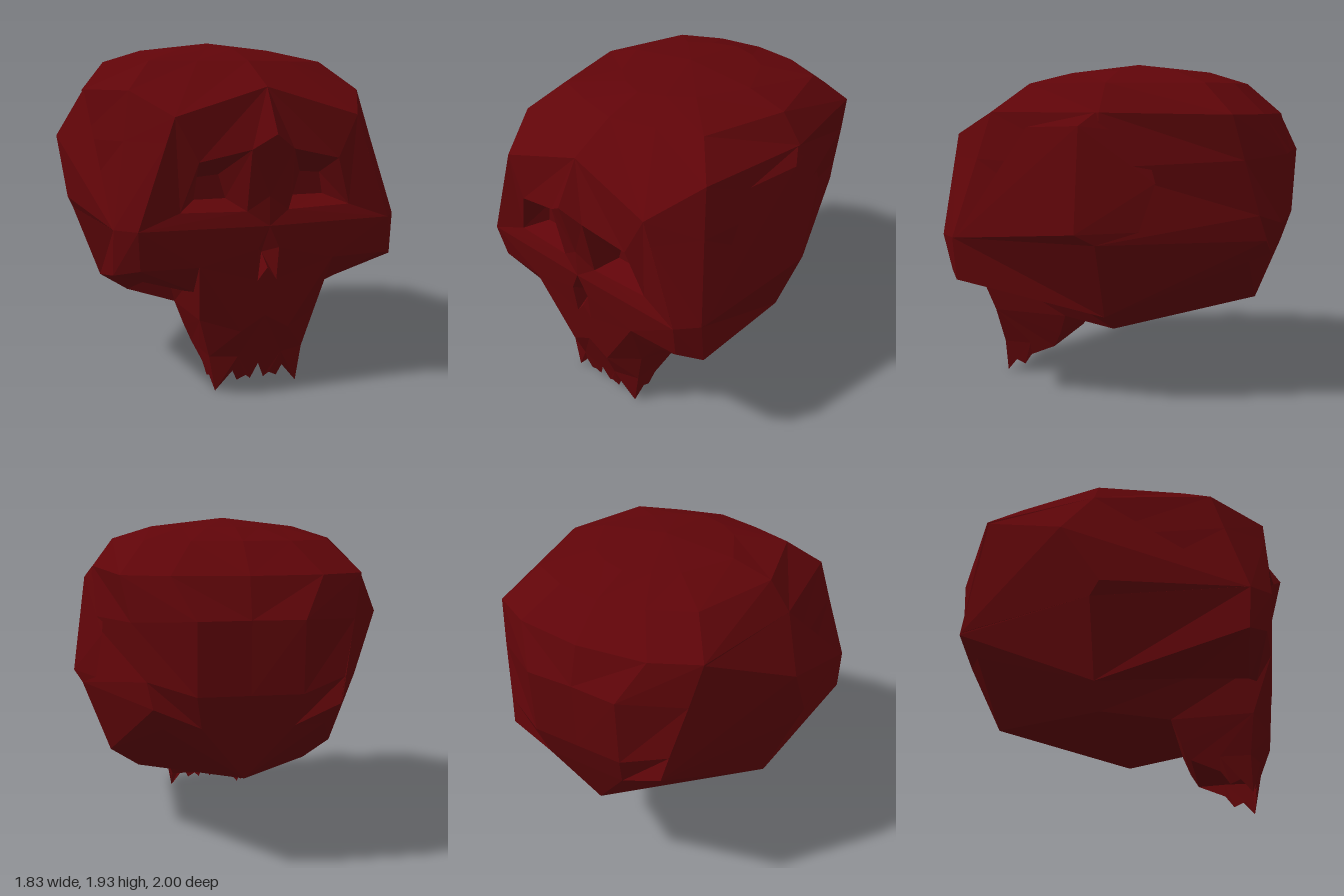
import * as THREE from 'three';
import { ConvexGeometry } from 'three/addons/geometries/ConvexGeometry.js';

const material = new THREE.MeshStandardMaterial({
  color: 0x600509, flatShading: true, side: THREE.DoubleSide,
});

function addMesh(group, name, geometry) {
  const mesh = new THREE.Mesh(geometry, material);
  mesh.name = name;
  group.add(mesh);
}

// Turns left-half polygons into triangles and mirrors them across x = 0.
function mirrored(polygons) {
  const out = [];
  const flip = ([x, y, z]) => [-x, y, z];
  for (const p of polygons) {
    for (let i = 1; i < p.length - 1; i++) {
      out.push(...p[0], ...p[i], ...p[i + 1]);
      out.push(...flip(p[0]), ...flip(p[i + 1]), ...flip(p[i]));
    }
  }
  const g = new THREE.BufferGeometry();
  g.setAttribute('position', new THREE.Float32BufferAttribute(out, 3));
  g.computeVertexNormals();
  return g;
}

// Fan of triangles from a hub along a path.
const fan = (hub, path) => path.slice(1).map((p, i) => [hub, path[i], p]);
const centre = ([, y, z]) => [0, y, z];

// Points shared by the face, cranium and jaw
const foreheadTop = [0, 1.67, 0.86], foreheadCorner = [0.52, 1.52, 0.9];
const noseTop = [0, 0.94, 0.91], cheek = [0.72, 0.95, 0.91], cheekLow = [0.7, 0.74, 0.87];
const jawTop = [0.39, 0.74, 0.89];
const nostril = [0.06, 0.82, 0.9], nostrilLow = [0.055, 0.64, 0.88], septum = [0, 0.71, 0.885];
// Back edge of the jaw, from tooth line up to the skull
const jawBack = [[0.27, 0.19, 0.41], [0.3, 0.28, 0.36], [0.34, 0.41, 0.31], [0.42, 0.62, 0.42]];

function cranium() {
  const baseSide = [0.53, 0.41, -0.06], baseBack = [0, 0.53, -0.8], underCorner = [0.44, 0.83, -0.82];
  const lowSide = [0.7, 0.52, -0.06], lowCorner = [0.5, 0.96, -0.92], lowBack = [0.25, 0.85, -0.92];
  // Half rings from top to bottom, each running from front to back
  const rings = [
    [[0, 1.88, 0.38], [0.15, 1.88, 0.32], [0.28, 1.88, 0.22], [0.43, 1.88, -0.06],
      [0.28, 1.88, -0.36], [0.15, 1.88, -0.45], [0, 1.88, -0.5]],
    [[0, 1.81, 0.6], [0.27, 1.81, 0.53], [0.52, 1.81, 0.44], [0.66, 1.81, -0.06],
      [0.51, 1.81, -0.57], [0.27, 1.81, -0.69], [0, 1.81, -0.73]],
    [foreheadTop, foreheadCorner, [0.68, 1.65, 0.61], [0.78, 1.65, -0.06],
      [0.65, 1.64, -0.75], [0.4, 1.64, -0.88], [0, 1.64, -0.93]],
    [null, [0.566, 1.39, 0.902], [0.73, 1.39, 0.68], [0.82, 1.36, -0.06],
      [0.6, 1.4, -0.81], [0.28, 1.42, -1], [0, 1.42, -0.99]],
    [noseTop, cheek, [0.82, 0.95, 0.8], [0.86, 0.95, -0.06],
      [0.53, 1.1, -0.885], [0.28, 1.03, -0.98], [0, 1.03, -0.98]],
    [jawTop, cheekLow, [0.82, 0.71, 0.78], lowSide, lowCorner, lowBack, centre(lowBack)],
  ];
  const polygons = fan([0, 1.93, -0.06], rings[0]);
  for (let r = 0; r < rings.length - 1; r++) {
    for (let c = 0; c < 6; c++) {
      if (c === 0 && r >= 2) continue; // left open for the face
      polygons.push([rings[r][c], rings[r + 1][c], rings[r + 1][c + 1], rings[r][c + 1]]);
    }
  }
  // Hollow under the cheekbone, reaching in to the jaw
  const edge = rings[5], inner = [[0.39, 0.59, 0.8], [0.43, 0.59, 0.76], jawBack[3], baseSide];
  for (let c = 0; c < 3; c++) {
    polygons.push([inner[c], inner[c + 1], edge[c + 1], edge[c]]);
  }
  // Base of the skull, rising to a point at the back
  polygons.push(
    [jawBack[3], jawBack[2], baseSide],
    [jawBack[2], centre(jawBack[2]), centre(baseSide), baseSide],
    [baseSide, centre(baseSide), baseBack],
    [lowSide, baseSide, underCorner, lowCorner], [baseSide, baseBack, underCorner],
    [underCorner, baseBack, lowBack], [lowCorner, underCorner, lowBack],
    [lowBack, baseBack, centre(lowBack)],
  );
  return mirrored(polygons);
}

// Eye opening: inner top, inner bottom, outer bottom, outer top
const eye = [[0.12, 1.35, 0.95], [0.12, 1.02, 0.885], [0.49, 1.03, 0.88], [0.4, 1.29, 0.92]];

function face() {
  const [e1, e4, e3, e2] = eye;
  const brow = [0, 1.43, 1], bridge = [0, 1.1, 0.91];
  return mirrored([
    // Brow and bridge
    [foreheadTop, brow, e1], [foreheadTop, e1, e2], [foreheadTop, e2, foreheadCorner],
    [brow, bridge, e1], [bridge, e4, e1], [bridge, noseTop, e4],
    // Temple side of the eye and cheekbone
    [foreheadCorner, e2, e3], [foreheadCorner, e3, cheek], [e4, noseTop, cheek, e3],
    // Cheek beside the nose
    [noseTop, nostril, cheek], [cheek, nostril, jawTop], [cheek, jawTop, cheekLow],
    [nostril, nostrilLow, jawTop],
  ]);
}

function eyeSockets() {
  const inner = [[0.24, 1.21, 0.77], [0.2, 1.08, 0.77], [0.38, 1.08, 0.77], [0.36, 1.2, 0.77]];
  const walls = eye.map((p, i) => {
    const n = (i + 1) % 4;
    return [p, eye[n], inner[n], inner[i]];
  });
  return mirrored([...walls, inner]);
}

function noseCavity() {
  return mirrored(fan([0, 0.78, 0.8], [septum, nostrilLow, nostril, noseTop]));
}

function upperJaw() {
  // Front rows
  const m0 = [0, 0.44, 0.86], m1 = [0.14, 0.36, 0.855], m2 = [0.345, 0.42, 0.77];
  const g0 = [0, 0.27, 0.81], g1 = [0.13, 0.2, 0.79], g2 = [0.28, 0.2, 0.74];
  const g3 = [0.28, 0.2, 0.57];
  // Jagged tooth lines at the front and side
  const frontTeeth = [[0, 0.14, 0.77], [0.04, 0.05, 0.75], [0.07, 0.075, 0.76],
    [0.12, 0.05, 0.75], [0.15, 0.11, 0.76]];
  const corner = [0.245, 0, 0.74];
  const sideTeeth = [g2, corner, [0.25, 0.08, 0.69], [0.25, 0.05, 0.62],
    [0.26, 0.12, 0.57], jawBack[0]];
  const polygons = [
    [nostrilLow, septum, m0], [nostrilLow, m0, m1],
    [jawTop, nostrilLow, m1], [jawTop, m1, m2],
    [m0, g0, g1, m1], [m1, g1, g2, m2],
    ...fan(g1, [g0, ...frontTeeth, corner, g2]),
    [jawTop, m2, jawBack[2], jawBack[3]],
    [m2, g2, g3], [m2, g3, jawBack[0], jawBack[1], jawBack[2]],
    ...fan(g3, sideTeeth),
    // Palate
    [jawBack[0], g3, centre(g3), centre(jawBack[0])], [g3, g2, centre(g2), centre(g3)],
  ];
  for (let i = 0; i < 2; i++) {
    polygons.push([jawBack[i + 1], jawBack[i], centre(jawBack[i]), centre(jawBack[i + 1])]);
  }
  return mirrored(polygons);
}

// Uneven bulges on the two temples
const leftBulge = [[0.83, 1.58, 0.04], [0.91, 1.01, 0.04], [0.77, 1.57, 0.36], [0.845, 1.04, 0.42],
  [0.825, 0.95, 0.78], [0.78, 1.65, -0.04], [0.72, 1.54, -0.28], [0.74, 1.28, -0.36],
  [0.78, 1.02, -0.28], [0.86, 0.95, -0.06]];
const rightBulge = [[-0.82, 1.56, -0.1], [-0.92, 1.37, -0.22], [-0.9, 1.02, 0], [-0.85, 1, 0.37],
  [-0.82, 0.95, 0.79], [-0.78, 1.65, -0.06], [-0.65, 1.63, -0.74], [-0.51, 0.97, -0.91],
  [-0.86, 0.95, -0.06]];

export function createModel() {
  const skull = new THREE.Group();
  skull.name = 'skull';
  addMesh(skull, 'cranium', cranium());
  addMesh(skull, 'face', face());
  addMesh(skull, 'eyeSockets', eyeSockets());
  addMesh(skull, 'noseCavity', noseCavity());
  addMesh(skull, 'upperJaw', upperJaw());
  const hull = (pts) => new ConvexGeometry(pts.map((p) => new THREE.Vector3(...p)));
  addMesh(skull, 'leftTemple', hull(leftBulge));
  addMesh(skull, 'rightTemple', hull(rightBulge));
  return skull;
}
